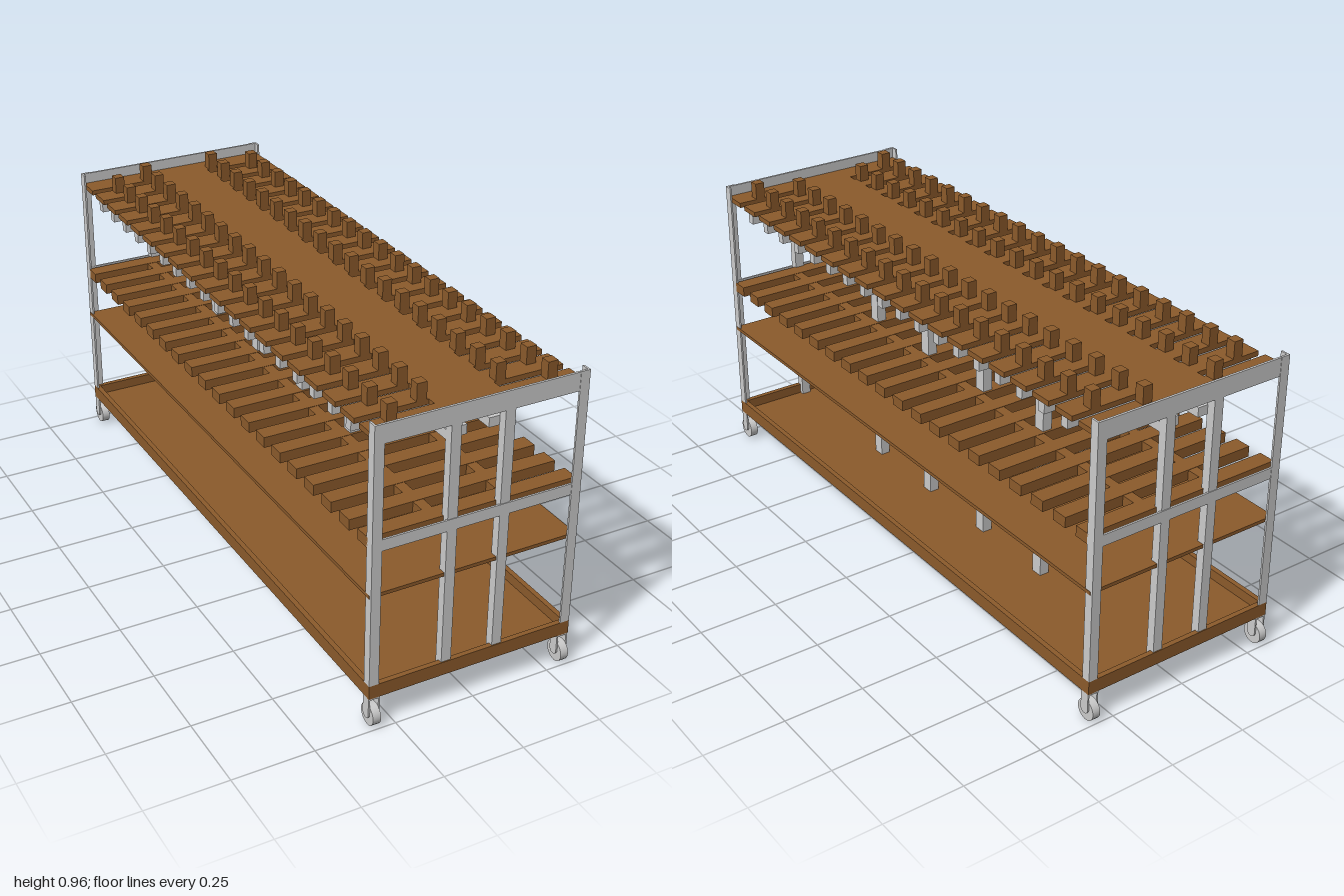
import * as THREE from 'three';

const wood = new THREE.MeshStandardMaterial({ color: 0x8b5a2b });
const metal = new THREE.MeshStandardMaterial({ color: 0xcccccc });
const PITCH = 0.0983; // spacing of the deck slots
const SIDES = [-1, 1];

// box given by its minimum and maximum on each axis
function box(parent, name, mat, [x0, x1], [y0, y1], [z0, z1]) {
  const mesh = new THREE.Mesh(
    new THREE.BoxGeometry(Math.abs(x1 - x0), y1 - y0, Math.abs(z1 - z0)), mat);
  mesh.position.set((x0 + x1) / 2, (y0 + y1) / 2, (z0 + z1) / 2);
  mesh.name = name;
  parent.add(mesh);
  return mesh;
}

function part(root, name) {
  const g = new THREE.Group();
  g.name = name;
  root.add(g);
  return g;
}

// top board with open slots along both long edges
function slottedDeck() {
  const w = 0.322, l = 0.975, inner = 0.1, h = 0.0135;
  const pts = [];
  for (let k = -9; k <= 9; k++) {
    const z = k * PITCH;
    pts.push([w, z - h], [inner, z - h], [inner, z + h], [w, z + h]);
  }
  const right = [[w, -l], ...pts, [w, l]];
  const left = right.map(([x, z]) => [-x, z]).reverse();
  const shape = new THREE.Shape([...right, ...left].map(([x, z]) => new THREE.Vector2(x, z)));
  const geo = new THREE.ExtrudeGeometry(shape, { depth: 0.016, bevelEnabled: false });
  geo.rotateX(Math.PI / 2);
  const mesh = new THREE.Mesh(geo, wood);
  mesh.name = 'slottedDeck';
  mesh.position.y = 0.906;
  return mesh;
}

// wheel between two rounded fork plates
function caster() {
  const g = new THREE.Group();
  g.name = 'caster';
  const wheel = new THREE.Mesh(new THREE.CylinderGeometry(0.033, 0.033, 0.025, 24), metal);
  wheel.name = 'wheel';
  wheel.rotation.z = Math.PI / 2;
  wheel.position.y = 0.033;
  g.add(wheel);
  const s = new THREE.Shape();
  s.moveTo(0.015, 0.095);
  s.lineTo(-0.015, 0.095);
  s.lineTo(-0.015, 0.04);
  s.absarc(0, 0.04, 0.015, Math.PI, Math.PI * 2, false);
  for (const side of SIDES) {
    const geo = new THREE.ExtrudeGeometry(s, { depth: 0.005, bevelEnabled: false });
    geo.rotateY(Math.PI / 2);
    const plate = new THREE.Mesh(geo, metal);
    plate.name = 'forkPlate';
    plate.position.x = side > 0 ? 0.013 : -0.018;
    g.add(plate);
  }
  box(g, 'forkTop', metal, [-0.018, 0.018], [0.089, 0.096], [-0.015, 0.015]);
  return g;
}

export function createModel() {
  const root = new THREE.Group();
  root.name = 'rollingRack';

  // bottom tray
  const tray = part(root, 'bottomTray');
  box(tray, 'trayFloor', wood, [-0.327, 0.327], [0.095, 0.106], [-0.984, 0.984]);
  for (const s of SIDES) {
    box(tray, 'traySideRim', wood, [s * 0.311, s * 0.327], [0.106, 0.138], [-0.984, 0.984]);
    box(tray, 'trayEndRim', wood, [-0.311, 0.311], [0.106, 0.138], [s * 0.968, s * 0.984]);
  }

  // end frames: angle-iron corner posts, inner posts and cross bars
  for (const e of SIDES) {
    const frame = part(root, e > 0 ? 'frontFrame' : 'backFrame');
    for (const s of SIDES) {
      box(frame, 'cornerPostFace', metal, [s * 0.297, s * 0.327], [0.138, 0.94], [e * 0.978, e * 0.984]);
      box(frame, 'cornerPostFlange', metal, [s * 0.321, s * 0.327], [0.138, 0.94], [e * 0.955, e * 0.978]);
      box(frame, 'innerPost', metal, [s * 0.067, s * 0.098], [0.106, 0.885], [e * 0.953, e * 0.981]);
      const c = caster();
      c.position.set(s * 0.309, 0, e * 0.967);
      root.add(c);
    }
    box(frame, 'topBar', metal, [-0.326, 0.326], [0.882, 0.939], [e * 0.976, e * 0.983]);
    box(frame, 'middleBar', metal, [-0.32, 0.32], [0.563, 0.598], [e * 0.977, e * 0.983]);
    box(frame, 'middleBarFlange', metal, [-0.32, 0.32], [0.563, 0.569], [e * 0.955, e * 0.977]);
  }

  // thin shelf
  box(root, 'thinShelf', wood, [-0.328, 0.328], [0.418, 0.429], [-0.976, 0.976]);

  // inner supports: two rows of posts carrying long rails
  const supports = part(root, 'supports');
  for (const s of SIDES) {
    for (const k of [-4.5, -1.5, 1.5, 4.5]) {
      const z = k * PITCH;
      box(supports, 'supportPost', metal, [s * 0.067, s * 0.098], [0.106, 0.828], [z - 0.019, z + 0.019]);
    }
    box(supports, 'longRail', metal, [s * 0.034, s * 0.098], [0.827, 0.856], [-0.955, 0.955]);
  }

  // middle slatted shelf: slats with spacer blocks between them
  const slats = part(root, 'slattedShelf');
  for (let k = -9.5; k <= 9.5; k++) {
    const z = k * PITCH;
    box(slats, 'slat', wood, [-0.327, 0.327], [0.567, 0.6], [z - 0.0265, z + 0.0265]);
    if (k > 9) continue;
    for (const s of SIDES) {
      box(slats, 'spacer', wood, [s * 0.1, s * 0.132], [0.567, 0.599], [z + 0.0265, z + PITCH - 0.0265]);
    }
  }

  // top deck on cross bearers
  const top = part(root, 'topDeck');
  top.add(slottedDeck());
  for (let k = -8.5; k <= 8.5; k++) {
    const z = k * PITCH;
    box(top, 'crossBearer', metal, [-0.318, 0.318], [0.856, 0.89], [z - 0.013, z + 0.013]);
  }

  // pegs either side of every slot
  for (let k = -9; k <= 9; k++) {
    const z = k * PITCH;
    for (const s of SIDES) {
      box(top, 'outerPeg', wood, [s * 0.23, s * 0.261], [0.906, 0.959], [z + 0.0135, z + 0.0445]);
      box(top, 'innerPeg', wood, [s * 0.106, s * 0.137], [0.906, 0.959], [z - 0.0445, z - 0.0135]);
    }
  }
  return root;
}
